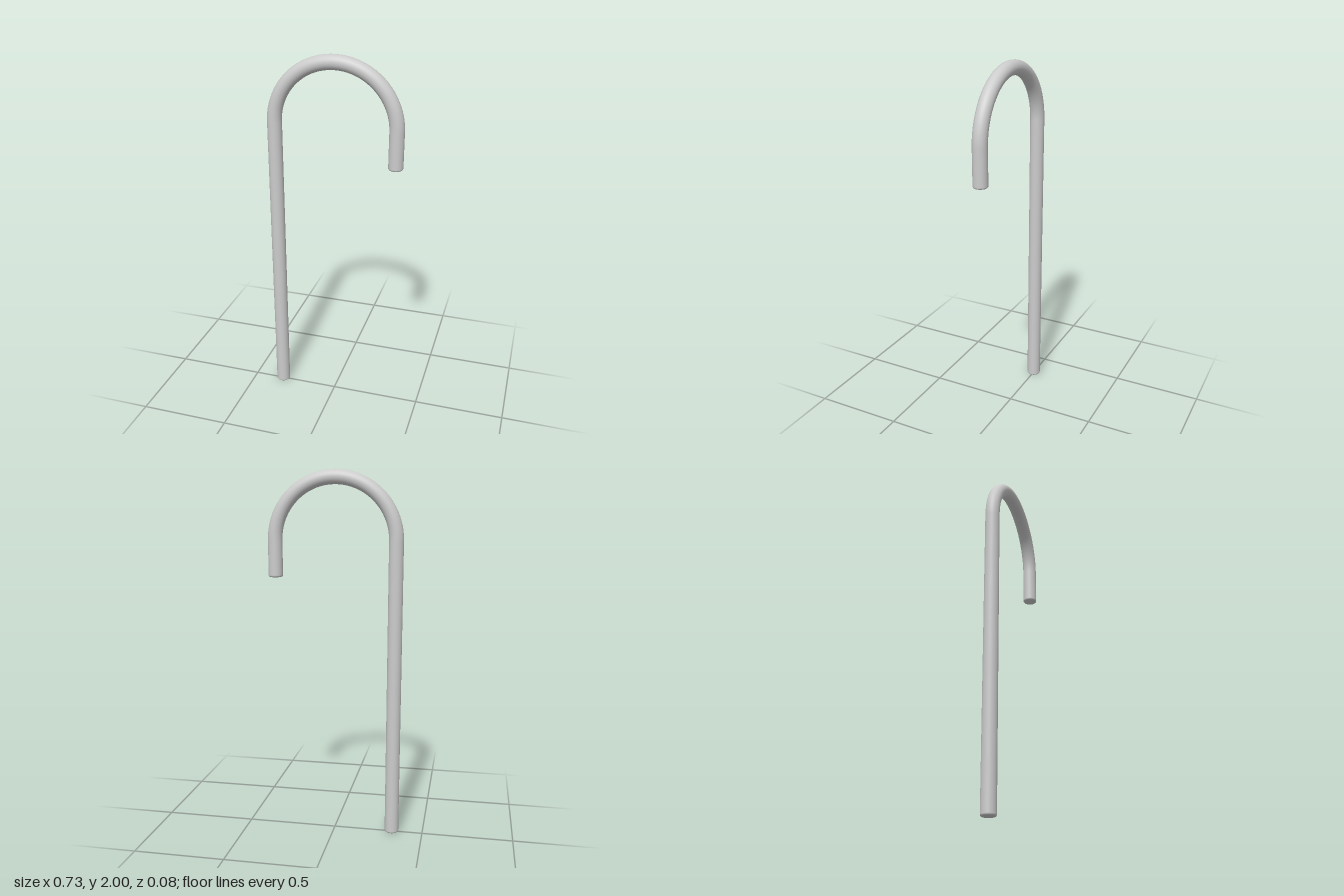
import * as THREE from 'three';

const TUBE = 0.039;   // cane radius
const BEND = 0.327;   // centre-line radius of the crook
const SPRING = 1.634; // height where the crook begins
const BEVEL = 0.01;   // rounding of the free ends

export function createModel() {
  const group = new THREE.Group();
  const material = new THREE.MeshStandardMaterial({ color: 0xcccccc });

  function add(name, geometry, x, y) {
    const mesh = new THREE.Mesh(geometry, material);
    mesh.name = name;
    mesh.position.set(x, y, 0);
    group.add(mesh);
  }

  // Straight round bar with a softly rounded lower end
  function bar(length) {
    const profile = [new THREE.Vector2(0, 0), new THREE.Vector2(TUBE - BEVEL - 0.001, 0)];
    for (let i = 0; i <= 6; i++) {
      const a = (i / 6) * Math.PI / 2;
      profile.push(new THREE.Vector2(
        TUBE - BEVEL + BEVEL * Math.sin(a),
        BEVEL - BEVEL * Math.cos(a)
      ));
    }
    profile.push(new THREE.Vector2(TUBE, BEVEL + 0.002), new THREE.Vector2(TUBE, length));
    return new THREE.LatheGeometry(profile, 32);
  }

  // Long shaft, curved crook and short drop at the tip
  const tipY = 1.433;
  add('shaft', bar(SPRING), -BEND, 0);
  add('crook', new THREE.TorusGeometry(BEND, TUBE, 32, 64, Math.PI), 0, SPRING);
  add('handleTip', bar(SPRING - tipY), BEND, tipY);

  return group;
}
